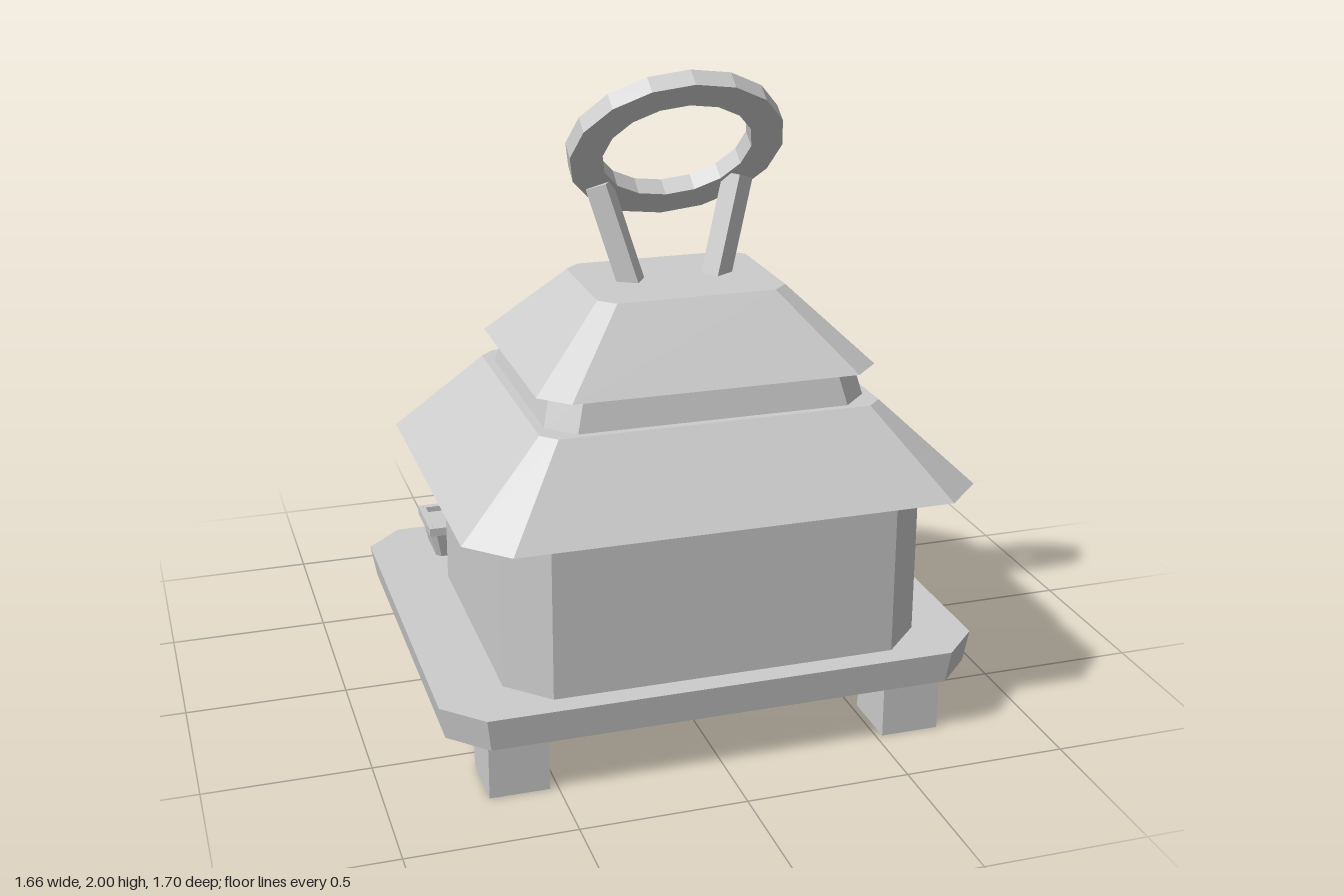
import * as THREE from 'three';
import { ConvexGeometry } from 'three/addons/geometries/ConvexGeometry.js';

export function createModel() {
  const root = new THREE.Group();
  const grey = new THREE.MeshStandardMaterial({ color: 0xcccccc });
  grey.name = 'plain grey';

  const add = (name, geo, x = 0, y = 0, z = 0) => {
    const flat = geo.index ? geo.toNonIndexed() : geo;
    flat.computeVertexNormals();
    const mesh = new THREE.Mesh(flat, grey);
    mesh.name = name;
    mesh.position.set(x, y, z);
    root.add(mesh);
    return mesh;
  };

  // Box given by its limits
  const box = (name, x0, x1, y0, y1, z0, z1) =>
    add(name, new THREE.BoxGeometry(x1 - x0, y1 - y0, z1 - z0),
      (x0 + x1) / 2, (y0 + y1) / 2, (z0 + z1) / 2);

  // Ring of eight points: rectangle with half sizes w, d and cut corners c
  const octagon = (cx, cz, y, w, d, c) => {
    const pts = [];
    for (const sx of [-1, 1]) for (const sz of [-1, 1]) {
      pts.push(new THREE.Vector3(cx + sx * w, y, cz + sz * (d - c)));
      pts.push(new THREE.Vector3(cx + sx * (w - c), y, cz + sz * d));
    }
    return pts;
  };
  const frustum = (name, cx, cz, [y0, w0, d0, c0], [y1, w1, d1, c1]) =>
    add(name, new ConvexGeometry([
      ...octagon(cx, cz, y0, w0, d0, c0), ...octagon(cx, cz, y1, w1, d1, c1)]));

  // Base: four feet, deck and stairs
  for (const x of [-0.615, 0.61]) for (const z of [0.67, -0.395])
    box('foot', x - 0.09, x + 0.09, 0, 0.18, z - 0.098, z + 0.098);
  frustum('deck', 0, 0.115, [0.175, 0.813, 0.688, 0.11], [0.275, 0.83, 0.7, 0.115]);
  for (let i = 0; i < 4; i++)
    box('stairStep', -0.01, 0.41, 0, 0.0685 * (i + 1), -0.85 + i * 0.067, -0.783 + i * 0.067);

  // House body and two-tier roof
  const cx = 0.022, cz = 0.225;
  frustum('walls', cx, 0.23, [0.275, 0.648, 0.515, 0.122], [0.785, 0.648, 0.515, 0.122]);
  frustum('lowerRoof', cx, cz, [0.78, 0.778, 0.622, 0.12], [1.03, 0.518, 0.415, 0.045]);
  frustum('roofNeck', cx, cz, [1.03, 0.49, 0.392, 0.08], [1.13, 0.465, 0.367, 0.08]);
  frustum('upperRoof', cx, cz, [1.13, 0.516, 0.417, 0.083], [1.35, 0.29, 0.22, 0.047]);

  // Tilted ring on two splayed legs
  const oval = (Type, rx, ry) => {
    const pts = [];
    for (let i = 0; i < 16; i++) {
      const a = i / 16 * Math.PI * 2;
      pts.push(new THREE.Vector2(rx * Math.cos(a), ry * Math.sin(a)));
    }
    return new Type(pts);
  };
  const ringShape = oval(THREE.Shape, 0.328, 0.278);
  ringShape.holes.push(oval(THREE.Path, 0.229, 0.194));
  const ringGeo = new THREE.ExtrudeGeometry(ringShape, { depth: 0.06, bevelEnabled: false });
  ringGeo.translate(0, 0, -0.03);
  add('roofRing', ringGeo, cx, 1.757, 0.2275).rotation.x = 0.626;
  for (const s of [-1, 1]) {
    const foot = new THREE.Vector3(cx + s * 0.128, 1.32, 0.224);
    const top = new THREE.Vector3(cx + s * 0.218, 1.635, 0.168);
    const leg = add('ringLeg', new THREE.BoxGeometry(0.065, 0.065, foot.distanceTo(top)));
    leg.position.copy(foot).lerp(top, 0.5);
    leg.lookAt(top);
  }

  // Diamond plate lying on the back slope of the lower roof
  const diamond = new THREE.CylinderGeometry(0.065, 0.065, 0.006, 4);
  diamond.scale(1, 1, 0.85);
  add('roofDiamond', diamond, cx, 0.887, -0.311).rotation.x = -Math.atan2(0.25, 0.207);

  // Arched door with knob and round ornament
  const arch = new THREE.Shape();
  arch.moveTo(-0.165, 0).lineTo(0.165, 0).lineTo(0.165, 0.245);
  arch.absarc(0, 0.245, 0.165, 0, Math.PI, false);
  arch.lineTo(-0.165, 0);
  add('door', new THREE.ExtrudeGeometry(arch, { depth: 0.012, bevelEnabled: false, curveSegments: 6 }),
    0.203, 0.275, -0.295);
  add('doorKnob', new THREE.IcosahedronGeometry(0.016, 0), 0.305, 0.45, -0.305);
  const disc = new THREE.CylinderGeometry(0.05, 0.05, 0.03, 8);
  disc.rotateX(Math.PI / 2);
  add('doorOrnament', disc, 0.203, 0.725, -0.335);
  add('ornamentRing', new THREE.TorusGeometry(0.03, 0.012, 4, 8), 0.203, 0.725, -0.35);
  box('ornamentBracket', 0.19, 0.216, 0.73, 0.78, -0.335, -0.28);

  // Wall strips, shelf and window
  box('sideStrip', 0.66, 0.68, 0.55, 0.78, 0.205, 0.25);
  box('backStrip', -0.335, -0.29, 0.55, 0.78, -0.305, -0.28);
  box('wallShelf', 0.45, 0.65, 0.525, 0.56, -0.345, -0.28);
  box('windowSill', -0.45, -0.2, 0.453, 0.472, -0.365, -0.28);
  box('windowPanel', -0.44, -0.26, 0.46, 0.607, -0.34, -0.312);

  // Eight-sided jar with open mouth
  const jar = [[0, 0], [0.058, 0], [0.045, 0.085], [0.068, 0.195], [0.042, 0.23], [0.036, 0.2], [0, 0.2]];
  add('jar', new THREE.LatheGeometry(jar.map(p => new THREE.Vector2(...p)), 8), 0.53, 0.275, -0.432);

  // Planter with raised rim and spiky leaves
  frustum('planter', -0.53, -0.404, [0.275, 0.1, 0.08, 0.015], [0.37, 0.121, 0.1, 0.018]);
  for (const s of [-1, 1]) {
    box('planterRim', -0.655, -0.405, 0.36, 0.388, -0.404 + s * 0.093 - 0.011, -0.404 + s * 0.093 + 0.011);
    box('planterRim', -0.53 + s * 0.114 - 0.011, -0.53 + s * 0.114 + 0.011, 0.36, 0.388, -0.485, -0.323);
  }
  const tips = [[-0.54, 0.605, -0.355], [-0.455, 0.545, -0.45], [-0.58, 0.5, -0.42], [-0.5, 0.47, -0.35]];
  for (const tip of tips) {
    const end = new THREE.Vector3(...tip), start = new THREE.Vector3(-0.53, 0.36, -0.405);
    const length = end.distanceTo(start);
    const leaf = new THREE.ConeGeometry(0.025, length, 4);
    leaf.scale(1, 1, 0.5);
    const mesh = add('leaf', leaf);
    mesh.position.copy(start).lerp(end, 0.5);
    mesh.quaternion.setFromUnitVectors(new THREE.Vector3(0, 1, 0), end.sub(start).normalize());
  }
  return root;
}
